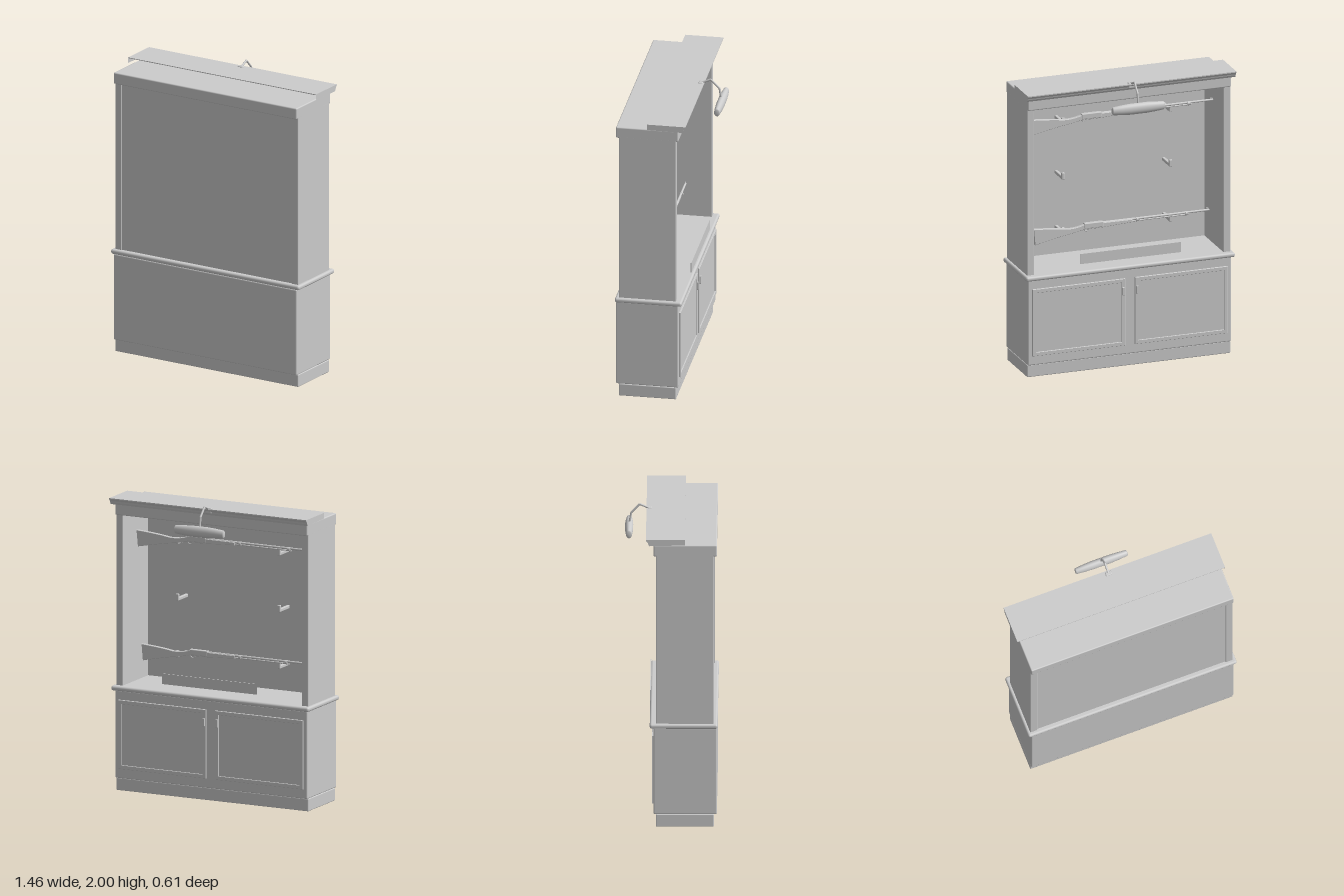
import * as THREE from 'three';
import { RoundedBoxGeometry } from 'three/addons/geometries/RoundedBoxGeometry.js';

const material = new THREE.MeshStandardMaterial({ color: 0xcccccc });
const sheetMaterial = new THREE.MeshStandardMaterial({ color: 0xcccccc, side: THREE.DoubleSide });

function add(parent, name, geometry, mat = material) {
  const mesh = new THREE.Mesh(geometry, mat);
  mesh.name = name;
  parent.add(mesh);
  return mesh;
}

// Box given by its extents; a radius rounds the edges
function box(parent, name, [x0, x1], [y0, y1], [z0, z1], radius = 0) {
  const size = [x1 - x0, y1 - y0, z1 - z0];
  const geometry = radius
    ? new RoundedBoxGeometry(...size, 2, radius)
    : new THREE.BoxGeometry(...size);
  const mesh = add(parent, name, geometry);
  mesh.position.set((x0 + x1) / 2, (y0 + y1) / 2, (z0 + z1) / 2);
  return mesh;
}

// Round bar along x
function barX(parent, name, x0, x1, y, z, r0, r1 = r0) {
  const mesh = add(parent, name, new THREE.CylinderGeometry(r1, r0, Math.abs(x1 - x0), 16));
  mesh.rotation.z = Math.PI / 2;
  mesh.position.set((x0 + x1) / 2, y, z);
  return mesh;
}

function cabinet(group) {
  box(group, 'plinth', [-0.71, 0.71], [0, 0.085], [-0.1, 0.28], 0.006);
  box(group, 'lowerCabinet', [-0.71, 0.71], [0.085, 0.675], [-0.115, 0.3], 0.008);
  box(group, 'counterTop', [-0.73, 0.73], [0.673, 0.705], [-0.14, 0.305], 0.014);
  for (const s of [-1, 1]) {
    box(group, 'sideWall', [s * 0.685 - 0.025, s * 0.685 + 0.025], [0.7, 1.86], [-0.1, 0.28], 0.005);
  }
  box(group, 'rearPanel', [-0.665, 0.665], [0.7, 1.86], [0.258, 0.273]);
  box(group, 'frieze', [-0.71, 0.71], [1.848, 1.925], [-0.115, 0.3], 0.008);
}

// Hollow crown: top sheet, moulded face and end plates
function crown(group) {
  const outline = new THREE.Shape();
  outline.moveTo(0.09, 1.93);
  outline.lineTo(0.09, 1.968);
  outline.lineTo(-0.165, 1.968);
  outline.lineTo(-0.165, 1.961);
  outline.quadraticCurveTo(-0.152, 1.95, -0.15, 1.938);
  outline.lineTo(-0.142, 1.926);
  const end = new THREE.ShapeGeometry(outline, 6).rotateY(-Math.PI / 2);
  for (const s of [-1, 1]) add(group, 'crownEnd', end, sheetMaterial).position.x = s * 0.728;
  box(group, 'crownTop', [-0.728, 0.728], [1.963, 1.968], [-0.165, 0.09]);

  const face = new THREE.Shape();
  face.moveTo(-0.165, 1.968);
  face.lineTo(-0.165, 1.961);
  face.quadraticCurveTo(-0.152, 1.95, -0.15, 1.938);
  face.lineTo(-0.142, 1.924);
  face.lineTo(-0.137, 1.924);
  face.lineTo(-0.155, 1.968);
  const moulding = new THREE.ExtrudeGeometry(face, { depth: 1.456, bevelEnabled: false, curveSegments: 6 });
  add(group, 'crownMoulding', moulding.rotateY(-Math.PI / 2), sheetMaterial).position.x = 0.728;
}

// Framed door with a sunken centre panel and a pull near the middle
function door(s) {
  const group = new THREE.Group();
  group.name = 'door';
  const rect = (path, x0, x1, y0, y1) => {
    path.moveTo(x0, y0);
    path.lineTo(x1, y0);
    path.lineTo(x1, y1);
    path.lineTo(x0, y1);
    path.closePath();
    return path;
  };
  const frame = rect(new THREE.Shape(), -0.322, 0.322, 0.152, 0.61);
  frame.holes.push(rect(new THREE.Path(), -0.3, 0.3, 0.174, 0.588));
  const geometry = new THREE.ExtrudeGeometry(frame, {
    depth: 0.009, bevelThickness: 0.002, bevelSize: 0.002, bevelSegments: 1,
  });
  add(group, 'doorFrame', geometry).position.z = -0.124;
  box(group, 'doorPanel', [-0.302, 0.302], [0.172, 0.59], [-0.119, -0.113]);
  const pullX = -s * 0.309;
  box(group, 'doorPull', [pullX - 0.008, pullX + 0.008], [0.5, 0.555], [-0.135, -0.122], 0.003);
  group.position.x = s * 0.358;
  return group;
}

// L-shaped peg standing out from the rear panel
function hook(x, y) {
  const group = new THREE.Group();
  group.name = 'hook';
  box(group, 'hookArm', [-0.011, 0.011], [-0.011, 0.011], [0.125, 0.262], 0.005);
  box(group, 'hookTip', [-0.011, 0.011], [-0.011, 0.036], [0.12, 0.138], 0.005);
  group.position.set(x, y, 0);
  return group;
}

// Long gun lying along x, butt towards +x, barrel axis at y = 0
function longGun() {
  const group = new THREE.Group();
  group.name = 'longGun';
  const stock = new THREE.Shape();
  stock.moveTo(0.64, 0.012);
  stock.quadraticCurveTo(0.48, 0.002, 0.4, -0.012);
  stock.quadraticCurveTo(0.33, -0.016, 0.27, 0.004);
  stock.lineTo(-0.08, 0.002);
  stock.lineTo(-0.08, -0.012);
  stock.lineTo(0.14, -0.024);
  stock.lineTo(0.28, -0.026);
  stock.quadraticCurveTo(0.36, -0.042, 0.42, -0.05);
  stock.quadraticCurveTo(0.54, -0.072, 0.63, -0.092);
  stock.closePath();
  const geometry = new THREE.ExtrudeGeometry(stock, {
    depth: 0.016, bevelThickness: 0.005, bevelSize: 0.003, bevelSegments: 2, curveSegments: 8,
  });
  add(group, 'stock', geometry).position.z = -0.008;
  box(group, 'receiver', [0.13, 0.27], [-0.022, 0.015], [-0.015, 0.015], 0.005);
  barX(group, 'barrel', 0.14, -0.65, 0.003, 0, 0.009, 0.007);
  barX(group, 'magazineTube', 0.0, -0.5, -0.01, 0, 0.005);
  for (const x of [-0.12, -0.48]) barX(group, 'barrelBand', x - 0.008, x + 0.008, -0.002, 0, 0.014);
  box(group, 'frontSight', [-0.645, -0.63], [0.006, 0.018], [-0.002, 0.002]);
  const guard = add(group, 'triggerGuard', new THREE.TorusGeometry(0.018, 0.003, 6, 14, Math.PI));
  guard.rotation.z = Math.PI;
  guard.position.set(0.25, -0.024, 0);
  return group;
}

// Picture light on a bent arm
function lamp() {
  const group = new THREE.Group();
  group.name = 'lamp';
  box(group, 'lampBase', [-0.022, 0.022], [1.936, 1.974], [-0.157, -0.128], 0.006);
  const path = new THREE.CurvePath();
  const points = [[1.966, -0.135], [1.972, -0.16], [1.993, -0.208], [1.935, -0.265], [1.865, -0.277]]
    .map(([y, z]) => new THREE.Vector3(0, y, z));
  for (let i = 1; i < points.length; i++) path.add(new THREE.LineCurve3(points[i - 1], points[i]));
  add(group, 'lampArm', new THREE.TubeGeometry(path, 48, 0.007, 10));
  const profile = [[0, -0.182], [0.02, -0.182], [0.027, -0.176], [0.033, -0.12], [0.037, -0.06],
    [0.037, 0.06], [0.033, 0.12], [0.027, 0.176], [0.02, 0.182], [0, 0.182]]
    .map(([r, t]) => new THREE.Vector2(r, t));
  const shade = new THREE.LatheGeometry(profile, 28).rotateZ(Math.PI / 2).scale(1, 1, 0.72);
  add(group, 'lampShade', shade).position.set(0, 1.838, -0.279);
  return group;
}

export function createModel() {
  const model = new THREE.Group();
  model.name = 'displayCabinet';
  cabinet(model);
  crown(model);
  for (const s of [-1, 1]) model.add(door(s));
  for (const x of [-0.375, 0.375]) {
    for (const y of [0.89, 1.27, 1.65]) model.add(hook(x, y));
  }

  const upperGun = longGun();
  upperGun.position.set(0, 1.705, 0.07);
  const lowerGun = longGun();
  lowerGun.scale.x = 0.95;
  lowerGun.position.set(-0.005, 0.945, 0.07);
  model.add(upperGun, lowerGun);

  // Blank plate standing at the counter edge
  box(model, 'namePlate', [-0.35, 0.35], [0.755, 0.825], [-0.14, -0.134]);
  model.add(lamp());
  return model;
}
